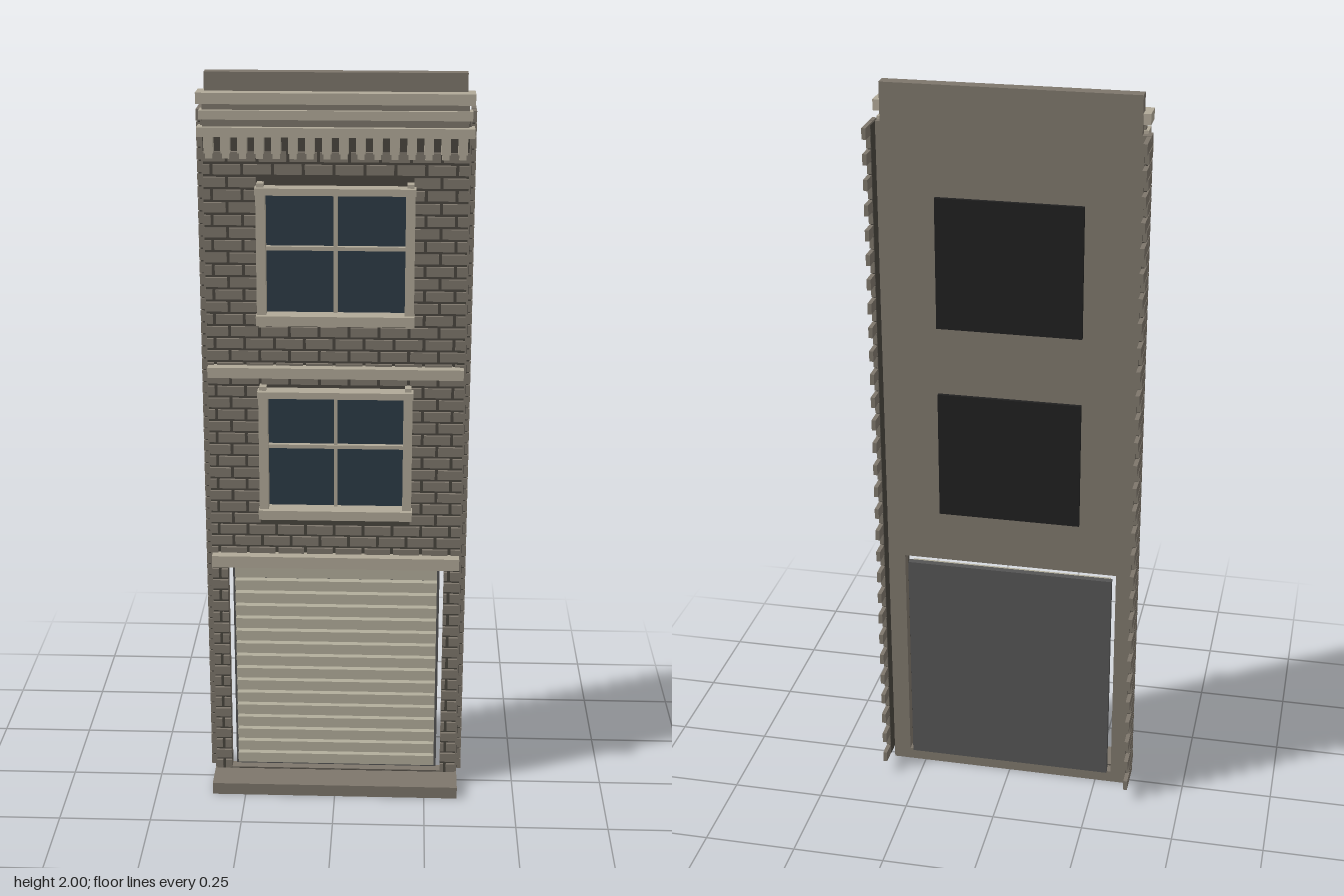
import * as THREE from 'three';
import { mergeGeometries } from 'three/addons/utils/BufferGeometryUtils.js';

const mat = (name, color, side = THREE.FrontSide) => {
  const m = new THREE.MeshStandardMaterial({ color, side });
  m.name = name;
  return m;
};

// Box given by its minimum and maximum corners
function block(x0, x1, y0, y1, z0, z1) {
  const g = new THREE.BoxGeometry(x1 - x0, y1 - y0, z1 - z0);
  return g.translate((x0 + x1) / 2, (y0 + y1) / 2, (z0 + z1) / 2);
}

export function createModel() {
  const stone = mat('stone', 0x7d766b);
  const mortar = mat('mortar', 0x49453e);
  const trim = mat('trim', 0xb1a998);
  const slat = mat('slat', 0xb2ad9b);
  const glass = mat('glass', 0x2c3a46);
  const black = mat('blackout', 0x202020);
  const grey = mat('shutterBack', 0x545454);

  const model = new THREE.Group();
  const add = (name, material, geos, parent = model) => {
    const mesh = new THREE.Mesh(Array.isArray(geos) ? mergeGeometries(geos) : geos, material);
    mesh.name = name;
    parent.add(mesh);
    return mesh;
  };

  // Openings: [half width, bottom, top]
  const windows = [[0.18, 0.835, 1.165], [0.18, 1.375, 1.705]];
  const garage = [0.295, 0.035, 0.675];

  // Wall slab and mortar face, both pierced by the openings
  function slab(halfWidth, y0, y1, z0, z1) {
    const s = new THREE.Shape();
    s.moveTo(-halfWidth, y0).lineTo(halfWidth, y0).lineTo(halfWidth, y1).lineTo(-halfWidth, y1);
    for (const [w, b, t] of [garage, ...windows]) {
      const h = new THREE.Path();
      h.moveTo(-w, b).lineTo(-w, t).lineTo(w, t).lineTo(w, b);
      s.holes.push(h);
    }
    return new THREE.ExtrudeGeometry(s, { depth: z1 - z0, bevelEnabled: false }).translate(0, 0, z0);
  }
  add('wall', stone, slab(0.342, 0.005, 1.9, -0.02, 0.01));
  add('mortarFace', mortar, slab(0.337, 0.01, 1.895, 0.01, 0.016));
  add('parapet', stone, block(-0.33, 0.33, 1.9, 2, -0.02, 0.016));
  add('baseStep', stone, block(-0.342, 0.342, 0, 0.034, -0.018, 0.104));

  // Front brickwork in running bond, clipped around the openings
  const course = 0.0328, gap = 0.008, length = 0.078;
  const bricks = [];
  for (let row = 0; row < 54; row++) {
    const y = 0.038 + row * course, top = y + course - gap;
    let spans = [[-0.337, 0.337]];
    for (const [w, b, t] of [garage, ...windows.map(([w, b, t]) => [w + 0.02, b - 0.02, t + 0.015])]) {
      if (top > b && y < t) spans = [[-0.337, -w], [w, 0.337]];
    }
    for (const [a, b] of spans) {
      for (let x = -0.39 + (row % 2) * length / 2; x < b; x += length) {
        const x0 = Math.max(a, x), x1 = Math.min(b, x + length - gap);
        if (x1 - x0 > 0.008) bricks.push(block(x0, x1, y, top, 0.012, 0.024));
      }
    }
  }
  add('frontBricks', stone, bricks);

  // Toothed brick returns along both sides
  for (const side of [-1, 1]) {
    const teeth = [];
    const tooth = (y, z0, z1) => {
      const [a, b] = [side * 0.343, side * 0.354].sort((p, q) => p - q);
      teeth.push(block(a, b, y, y + 0.029, z0, z1));
    };
    for (let i = 0; i < 29; i++) {
      const y = 0.038 + i * 0.0656;
      tooth(y, -0.03, 0);
      tooth(y, -0.103, -0.034);
      if (i < 28) tooth(y + 0.0328, -0.064, 0);
    }
    const name = side > 0 ? 'left' : 'right';
    add(name + 'SideBricks', stone, teeth);
    const [a, b] = [side * 0.342, side * 0.35].sort((p, q) => p - q);
    add(name + 'SideMortar', mortar, block(a, b, 0.038, 1.9, -0.06, -0.002));
  }

  // Cornice mouldings, dentils and string courses
  add('cornice', trim, [
    block(-0.349, 0.349, 1.925, 1.953, -0.013, 0.05),
    block(-0.343, 0.343, 1.885, 1.908, 0, 0.042),
    block(-0.349, 0.349, 1.842, 1.866, 0, 0.047),
  ]);
  add('corniceBacking', stone, block(-0.335, 0.335, 1.842, 1.93, 0.005, 0.03));
  const dentils = [];
  for (let i = 0; i < 16; i++) {
    const x = -0.32 + i * 0.64 / 15;
    dentils.push(block(x - 0.012, x + 0.012, 1.8, 1.842, 0.01, 0.042));
    dentils.push(block(x - 0.009, x + 0.009, 1.785, 1.8, 0.01, 0.032));
  }
  add('dentils', trim, dentils);
  add('stringCourses', trim, [
    block(-0.335, 0.335, 0.67, 0.703, 0.005, 0.05),
    block(-0.335, 0.335, 1.21, 1.238, 0.005, 0.05),
  ]);

  // Windows
  windows.forEach(([w, b, t], i) => {
    const g = new THREE.Group();
    g.name = i ? 'upperWindow' : 'lowerWindow';
    model.add(g);
    const mid = (b + t) / 2 + 0.012;
    add('pane', glass, block(-w, w, b, t, 0, 0.008), g);
    add('blackout', black, block(-0.192, 0.192, b - 0.015, t + 0.008, -0.03, -0.019), g);
    const frame = [
      block(-0.205, 0.205, t - 0.008, t + 0.01, 0.01, 0.058),
      block(-0.205, 0.205, b - 0.02, b + 0.006, 0.01, 0.058),
      block(-0.008 + 0.003, 0.005, b, t, 0.006, 0.02),
      block(-w, w, mid - 0.005, mid + 0.005, 0.006, 0.022),
    ];
    for (const s of [-1, 1]) {
      const x = s * 0.191;
      frame.push(block(x - 0.012, x + 0.012, b, t, 0.01, 0.045));
      // Brackets below the sill and caps above the lintel
      frame.push(block(x - 0.009, x + 0.009, b - 0.03, b - 0.02, 0.01, 0.035));
      frame.push(block(x - 0.009, x + 0.009, t + 0.01, t + 0.02, 0.01, 0.045));
    }
    add('frame', trim, frame, g);
  });

  // Roller shutter
  const slats = [], n = 16, y0 = 0.05, pitch = 0.0382;
  for (let i = 0; i < n; i++) {
    slats.push(block(-0.277, 0.277, y0 + i * pitch, y0 + (i + 1) * pitch - 0.009, -0.012, 0.008));
  }
  add('shutterSlats', slat, slats);
  add('shutterBack', grey, block(-0.284, 0.284, 0.036, 0.66, -0.03, -0.012));
  return model;
}
